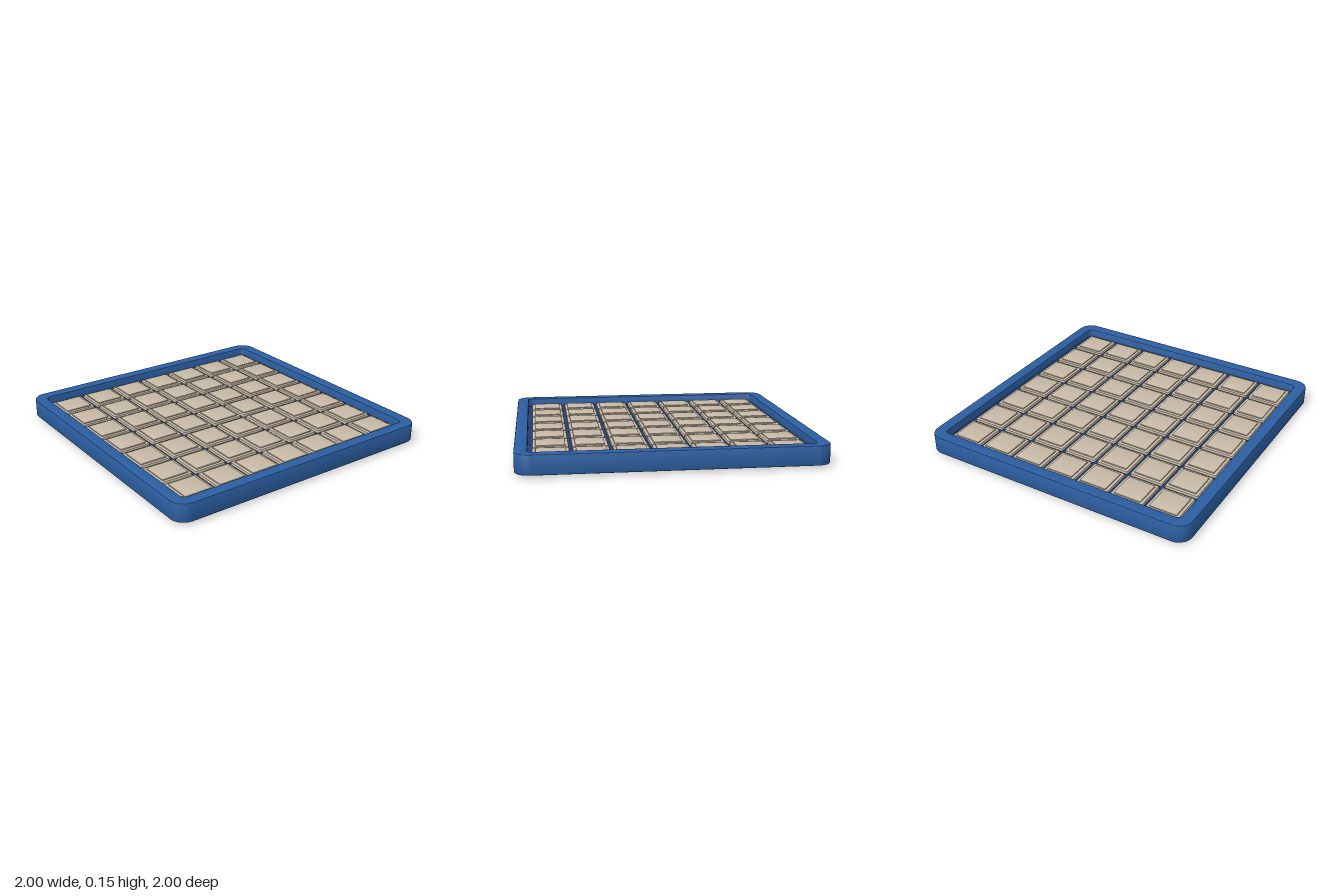
import * as THREE from 'three';
import { toCreasedNormals } from 'three/addons/utils/BufferGeometryUtils.js';

const mat = (name, color) => Object.assign(new THREE.MeshStandardMaterial({ color }), { name });

// Traces a rounded square of half-width h and corner radius r
function roundedSquare(path, h, r) {
  const c = h - r;
  path.moveTo(h, -c);
  path.lineTo(h, c);
  path.absarc(c, c, r, 0, Math.PI / 2, false);
  path.absarc(-c, c, r, Math.PI / 2, Math.PI, false);
  path.absarc(-c, -c, r, Math.PI, Math.PI * 1.5, false);
  path.absarc(c, -c, r, Math.PI * 1.5, Math.PI * 2, false);
  return path;
}

// Flat slab from y0 to y1 with softened edges and an optional square opening
function slab(h, r, y0, y1, bevel, curveSegments, hole) {
  const shape = roundedSquare(new THREE.Shape(), h - bevel, r - bevel);
  if (hole) shape.holes.push(roundedSquare(new THREE.Path(), hole.h + bevel, hole.r + bevel));
  const geo = new THREE.ExtrudeGeometry(shape, {
    depth: y1 - y0 - 2 * bevel,
    bevelEnabled: true,
    bevelThickness: bevel,
    bevelSize: bevel,
    bevelSegments: 2,
    curveSegments,
  });
  geo.rotateX(-Math.PI / 2);
  geo.translate(0, y0 + bevel, 0);
  return toCreasedNormals(geo, 0.6);
}

export function createModel() {
  const blue = mat('frame blue', 0x2c5fa3);
  const navy = mat('base navy', 0x203e70);
  const beige = mat('tile beige', 0xc9bba8);

  const model = new THREE.Group();
  model.name = 'tileBoard';
  const add = (parent, name, geo, material) => {
    const mesh = new THREE.Mesh(geo, material);
    mesh.name = name;
    parent.add(mesh);
    return mesh;
  };

  // Raised border and the base plate beneath it
  add(model, 'frame', slab(1, 0.1, 0.015, 0.145, 0.007, 10, { h: 0.917, r: 0.035 }), blue);
  add(model, 'basePlate', slab(0.93, 0.04, 0, 0.085, 0.01, 5), navy);

  // Seven by seven grid of tiles, each with a slightly raised pad
  const tileGeo = slab(0.117, 0.008, 0.08, 0.104, 0.004, 2);
  const padGeo = slab(0.097, 0.006, 0.1, 0.112, 0.003, 2);
  const count = 7, pitch = 0.257;
  const tiles = new THREE.Group();
  tiles.name = 'tiles';
  model.add(tiles);
  for (let row = 0; row < count; row++) {
    for (let col = 0; col < count; col++) {
      const tile = new THREE.Group();
      tile.name = `tile ${row + 1}-${col + 1}`;
      tile.position.set((col - 3) * pitch, 0, (row - 3) * pitch);
      add(tile, 'tileBody', tileGeo, beige);
      add(tile, 'tilePad', padGeo, beige);
      tiles.add(tile);
    }
  }
  return model;
}
